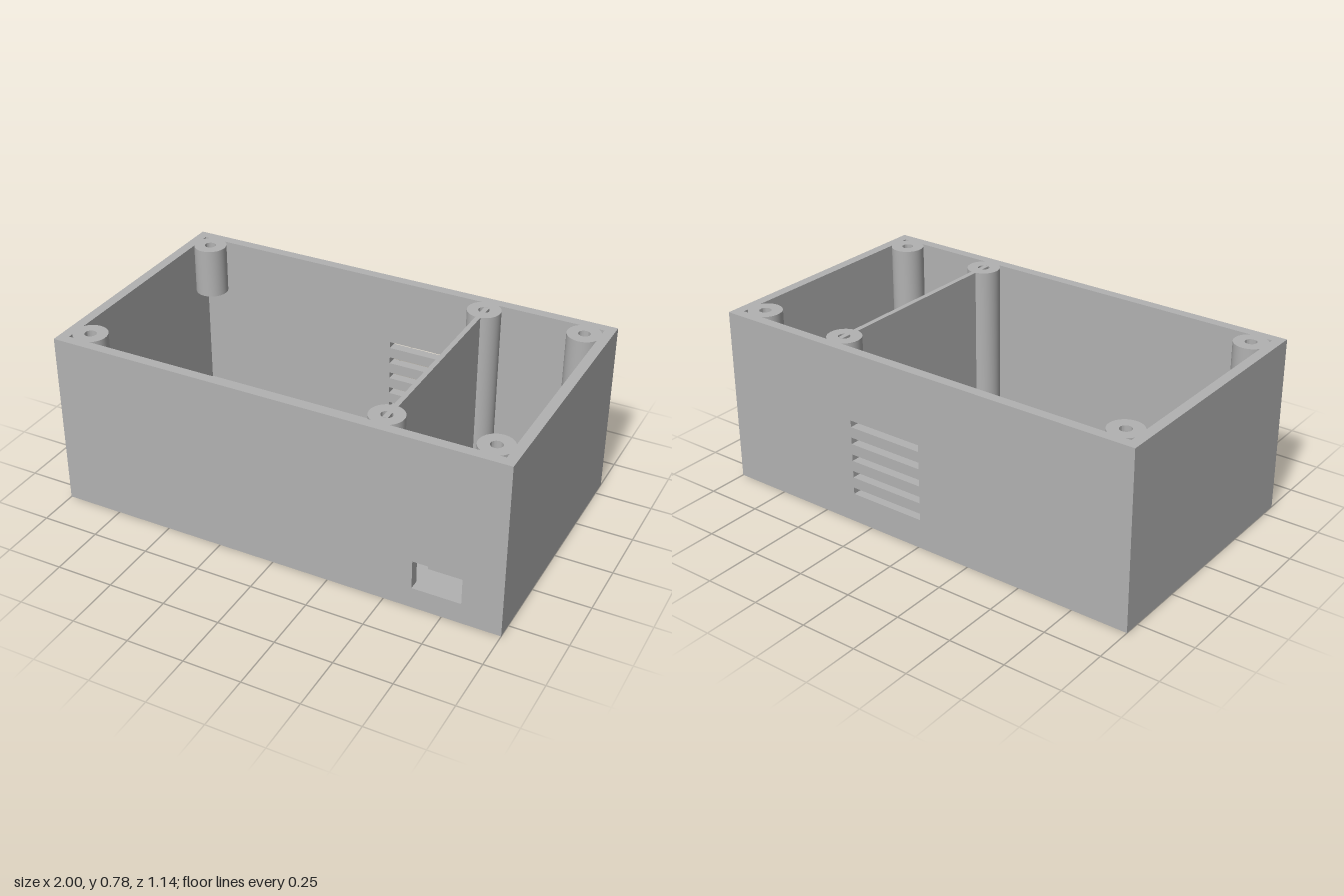
import * as THREE from 'three';
import { toCreasedNormals } from 'three/addons/utils/BufferGeometryUtils.js';

// Overall size: half width, half depth, height, wall and floor thickness
const HX = 1, HZ = 0.571, H = 0.78, WALL = 0.044, FLOOR = 0.042;

function rectPath(Type, x0, y0, x1, y1) {
  const p = new Type();
  p.moveTo(x0, y0);
  p.lineTo(x1, y0);
  p.lineTo(x1, y1);
  p.lineTo(x0, y1);
  p.closePath();
  return p;
}

function circlePath(Type, x, y, r) {
  const p = new Type();
  p.absarc(x, y, r, 0, Math.PI * 2);
  return p;
}

function extrude(shape, depth) {
  const g = new THREE.ExtrudeGeometry(shape, { depth, bevelEnabled: false, curveSegments: 20 });
  return toCreasedNormals(g, 0.6);
}

export function createModel() {
  const group = new THREE.Group();
  const grey = new THREE.MeshStandardMaterial({ color: 0xb2b2b2 });
  grey.name = 'grey plastic';

  const add = (name, geometry, x = 0, y = 0, z = 0) => {
    const mesh = new THREE.Mesh(geometry, grey);
    mesh.name = name;
    mesh.position.set(x, y, z);
    group.add(mesh);
  };

  // Upright round post, with an optional screw hole
  const post = (name, x, z, r, y0, y1, hole = 0) => {
    const s = circlePath(THREE.Shape, 0, 0, r);
    if (hole) s.holes.push(circlePath(THREE.Path, 0, 0, hole));
    add(name, extrude(s, y1 - y0).rotateX(-Math.PI / 2), x, y0, z);
  };

  // Floor with two cable holes
  const floor = rectPath(THREE.Shape, -HX, -HZ, HX, HZ);
  for (const z of [-0.17, 0.17]) floor.holes.push(circlePath(THREE.Path, -0.805, z, 0.037));
  add('floor', extrude(floor, FLOOR).rotateX(-Math.PI / 2));

  // Front wall with the connector window
  const front = rectPath(THREE.Shape, -HX, FLOOR, HX, H);
  front.holes.push(rectPath(THREE.Path, 0.62, 0.094, 0.83, 0.223));
  add('frontWall', extrude(front, WALL), 0, 0, HZ - WALL);

  // Back wall with five vent slots
  const back = rectPath(THREE.Shape, -HX, FLOOR, HX, H);
  for (let i = 0; i < 5; i++) {
    const top = 0.474 - i * 0.078;
    back.holes.push(rectPath(THREE.Path, -0.012, top - 0.03, 0.34, top));
  }
  add('backWall', extrude(back, WALL), 0, 0, -HZ);

  // Side walls and the divider between the two compartments
  const inner = 2 * (HZ - WALL), wallH = H - FLOOR, midY = FLOOR + wallH / 2;
  for (const s of [-1, 1]) {
    add(s > 0 ? 'leftWall' : 'rightWall', new THREE.BoxGeometry(WALL, wallH, inner), s * (HX - WALL / 2), midY, 0);
  }
  add('divider', new THREE.BoxGeometry(0.022, wallH, inner - 0.08), 0.452, midY, 0);

  // Lid screw posts: short at the right end, full height elsewhere
  for (const z of [-0.465, 0.465]) {
    post('shortLidPost', -0.894, z, 0.073, 0.555, H, 0.025);
    post('dividerLidPost', 0.45, z, 0.073, FLOOR, H, 0.025);
    post('cornerLidPost', 0.892, z, 0.073, FLOOR, H, 0.025);
  }

  // Circuit board standoffs and plain support pins
  for (const x of [-0.893, -0.104]) post('boardStandoff', x, -0.286, 0.071, FLOOR, 0.15, 0.025);
  for (const x of [-0.872, 0.289]) {
    for (const z of [0.046, 0.441]) post('supportPin', x, z, 0.044, FLOOR, 0.15);
  }

  // Small ribs that carry the connector board
  for (const z of [-0.01, 0.35]) {
    add('boardRib', new THREE.BoxGeometry(0.25, 0.115 - FLOOR, 0.042), 0.725, (0.115 + FLOOR) / 2, z);
  }

  return group;
}
